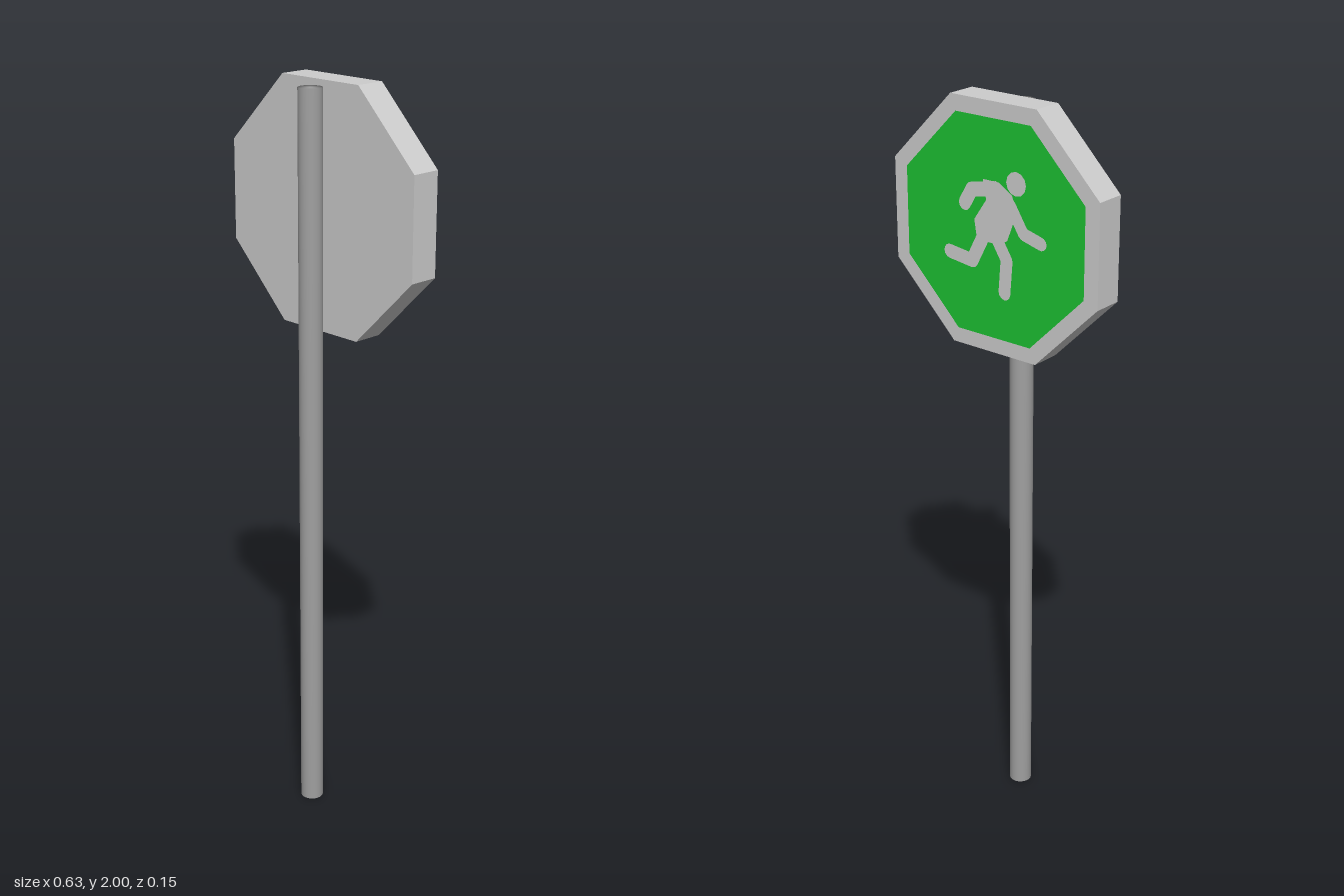
import * as THREE from 'three';

function colour(name, hex) {
  const material = new THREE.MeshStandardMaterial({ color: hex });
  material.name = name;
  return material;
}
const lightGrey = colour('light grey board', 0xcccccc);
const poleGrey = colour('grey pole', 0xa0a0a0);
const green = colour('sign green', 0x1cc032);

const V = (x, y) => new THREE.Vector2(x, y);

// Regular octagon standing on a flat side, given the distance to its sides
function octagon(apothem) {
  const r = apothem / Math.cos(Math.PI / 8);
  return new THREE.Shape(Array.from({ length: 8 }, (_, i) => {
    const a = (i + 0.5) * Math.PI / 4;
    return V(r * Math.cos(a), r * Math.sin(a));
  }));
}

function add(parent, name, geometry, material, x = 0, y = 0, z = 0) {
  const mesh = new THREE.Mesh(geometry, material);
  mesh.name = name;
  mesh.position.set(x, y, z);
  parent.add(mesh);
  return mesh;
}

// Flat limb of constant width through a few joints
function addLimb(parent, name, joints, width) {
  const limb = new THREE.Group();
  limb.name = name;
  parent.add(limb);
  joints.forEach(([x, y], i) => {
    add(limb, 'joint', new THREE.CircleGeometry(width / 2, 12), lightGrey, x, y);
    if (i === 0) return;
    const [px, py] = joints[i - 1];
    const bone = new THREE.PlaneGeometry(Math.hypot(x - px, y - py), width);
    add(limb, 'segment', bone, lightGrey, (x + px) / 2, (y + py) / 2)
      .rotation.z = Math.atan2(y - py, x - px);
  });
}

export function createModel() {
  const model = new THREE.Group();
  model.name = 'signpost';

  // Pole, shaded smoothly across its ends
  const h = 1.985, r = 0.031;
  const profile = [V(0, 0), V(r, 0), V(r, h), V(0, h)];
  add(model, 'pole', new THREE.LatheGeometry(profile, 24), poleGrey, 0, 0, 0.04);

  // Octagonal board
  const board = new THREE.ExtrudeGeometry(octagon(0.316), { depth: 0.081, bevelEnabled: false });
  add(model, 'board', board, lightGrey, 0, 1.685, -0.072);

  // Painted face, turned to the back
  const face = new THREE.Group();
  face.name = 'signFace';
  face.position.set(0, 1.685, -0.073);
  face.rotation.y = Math.PI;
  model.add(face);
  add(face, 'greenPanel', new THREE.ShapeGeometry(octagon(0.276)), green);

  // Running figure
  const runner = new THREE.Group();
  runner.name = 'runner';
  runner.position.z = 0.001;
  face.add(runner);
  add(runner, 'head', new THREE.CircleGeometry(0.03, 12), lightGrey, 0.072, 0.13);
  const torso = new THREE.Shape([
    V(-0.03, 0.125), V(0.02, 0.125), V(0.06, 0.1), V(0.075, 0.06), V(0.045, -0.015),
    V(0.02, -0.03), V(-0.05, -0.03), V(-0.058, 0.02), V(-0.02, 0.075),
  ]);
  add(runner, 'torso', new THREE.ShapeGeometry(torso), lightGrey);
  addLimb(runner, 'rearArm', [[0.01, 0.108], [-0.065, 0.093], [-0.088, 0.055]], 0.037);
  addLimb(runner, 'frontArm', [[0.055, 0.075], [0.095, 0.012], [0.148, -0.002]], 0.034);
  addLimb(runner, 'rearLeg', [[-0.028, -0.015], [-0.066, -0.087], [-0.138, -0.078]], 0.037);
  addLimb(runner, 'frontLeg', [[0.005, -0.005], [0.043, -0.065], [0.036, -0.15]], 0.037);

  return model;
}
